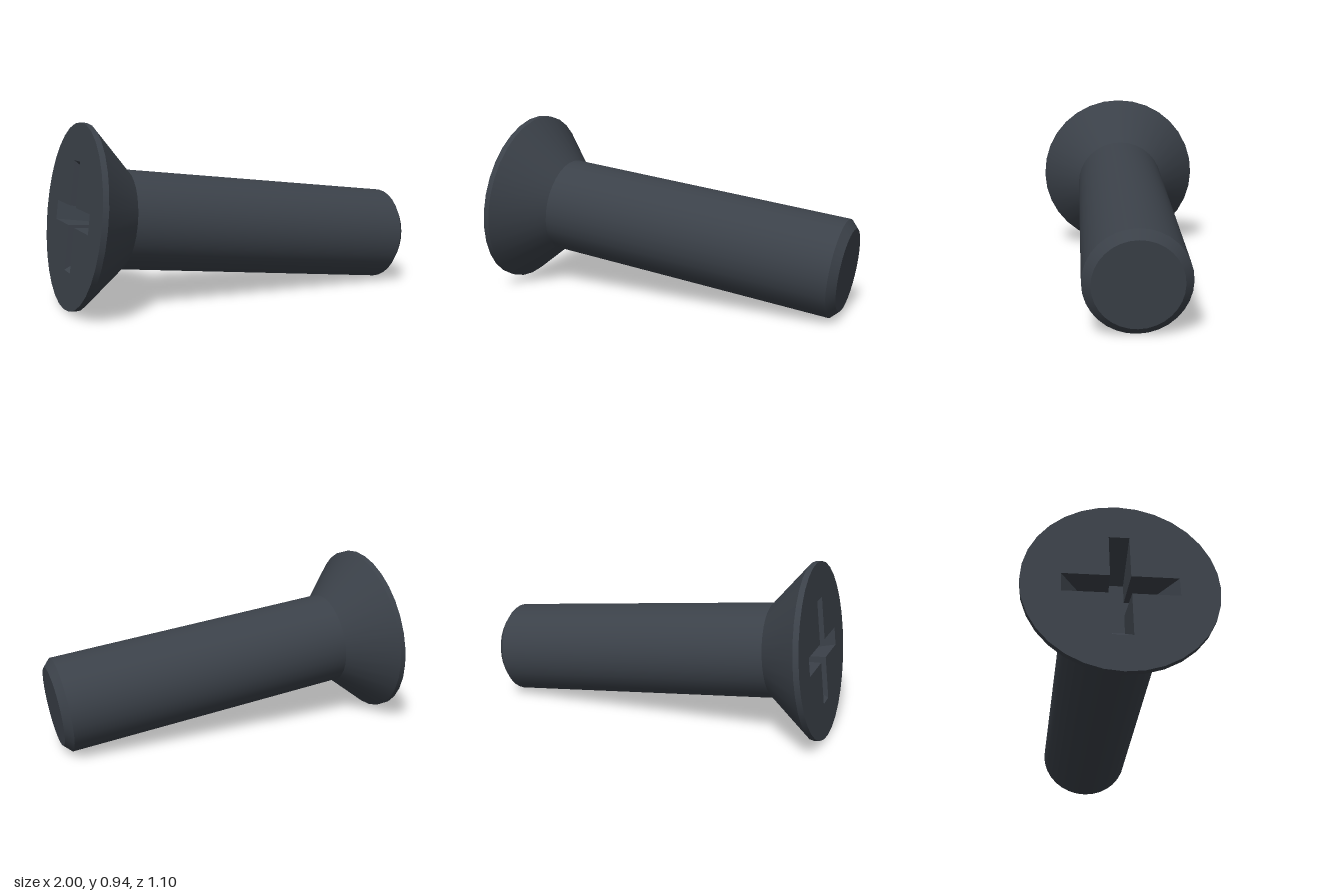
import * as THREE from 'three';

const SIDES = 32;

// Counter-clockwise cross outline: arm half length and half width
function crossOutline(length, width) {
  const pts = [];
  for (let k = 0; k < 4; k++) {
    for (const [x, y] of [[length, -width], [length, width], [width, width]]) {
      pts.push(new THREE.Vector2(x, y).rotateAround(new THREE.Vector2(), k * Math.PI / 2));
    }
  }
  return pts;
}

export function createModel() {
  const steel = new THREE.MeshStandardMaterial({ color: 0x3b4149 });
  steel.name = 'dark steel';

  const screw = new THREE.Group();
  screw.name = 'screw';
  const add = (name, geometry) => {
    const mesh = new THREE.Mesh(geometry, steel);
    mesh.name = name;
    screw.add(mesh);
  };

  // Turned bands, each [name, lower radius, lower y, upper radius, upper y];
  // separate lathes keep the edges between them sharp
  const bands = [
    ['tipFace', 0, -1.89, 0.215, -1.89],
    ['tipChamfer', 0.215, -1.89, 0.257, -1.85],
    ['shank', 0.257, -1.85, 0.257, -0.254],
    ['headCone', 0.257, -0.254, 0.4725, -0.03],
    ['headRim', 0.4725, -0.03, 0.4725, 0],
  ];
  for (const [name, r0, y0, r1, y1] of bands) {
    add(name, new THREE.LatheGeometry([new THREE.Vector2(r0, y0), new THREE.Vector2(r1, y1)], SIDES));
  }

  // Flat head face with a cross-shaped opening
  const top = crossOutline(0.28, 0.05);
  const bottom = crossOutline(0.14, 0.04);
  const depth = 0.2;
  const disc = [];
  for (let i = 0; i < SIDES; i++) {
    const a = i / SIDES * Math.PI * 2;
    disc.push(new THREE.Vector2(Math.cos(a), Math.sin(a)).multiplyScalar(0.4725));
  }
  const face = new THREE.Shape(disc);
  face.holes.push(new THREE.Path(top));
  add('headFace', new THREE.ShapeGeometry(face).rotateX(-Math.PI / 2));

  // Tapered walls and floor of the drive recess
  const walls = [];
  const at = (p, h) => [p.x, p.y, h];
  top.forEach((p, i) => {
    const j = (i + 1) % top.length;
    const a = at(p, 0), b = at(top[j], 0);
    const c = at(bottom[j], -depth), d = at(bottom[i], -depth);
    walls.push(...a, ...b, ...c, ...a, ...c, ...d);
  });
  const wallGeometry = new THREE.BufferGeometry();
  wallGeometry.setAttribute('position', new THREE.Float32BufferAttribute(walls, 3));
  wallGeometry.computeVertexNormals();
  add('recessWalls', wallGeometry.rotateX(-Math.PI / 2));
  add('recessFloor', new THREE.ShapeGeometry(new THREE.Shape(bottom))
    .rotateX(-Math.PI / 2).translate(0, -depth, 0));

  // Lay the screw along its tilted axis, head towards -x
  const axis = new THREE.Vector3(-0.971, 0.119, -0.207).normalize();
  const side = new THREE.Vector3(axis.z, 0, -axis.x).normalize();
  const down = new THREE.Vector3().crossVectors(side, axis);
  screw.quaternion.setFromRotationMatrix(new THREE.Matrix4().makeBasis(side, axis, down));
  screw.position.set(-0.887, 0.474, -0.083);

  const model = new THREE.Group();
  model.name = 'countersunkScrew';
  model.add(screw);
  return model;
}
